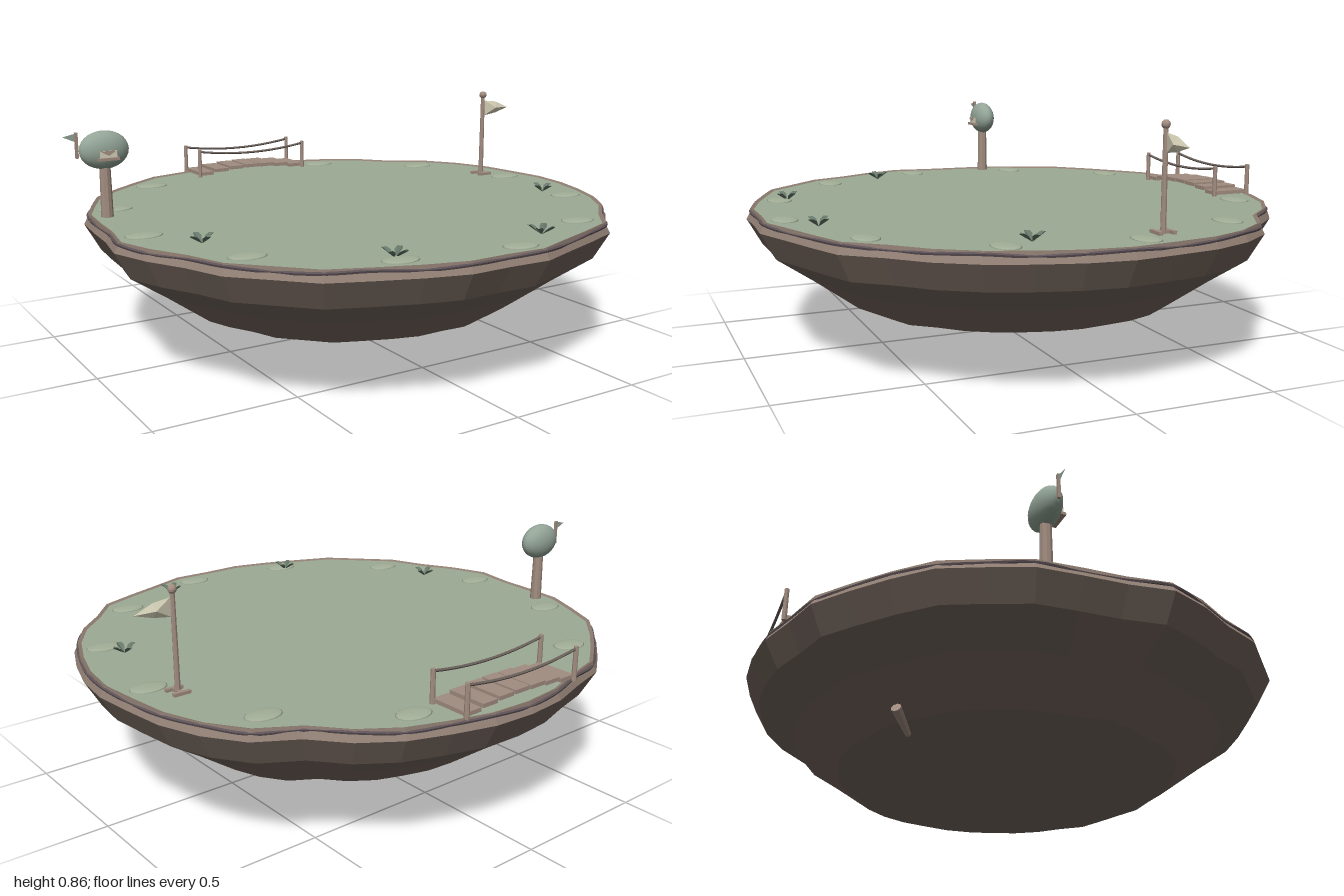
import * as THREE from 'three';

const mat = (color, flat = true) => new THREE.MeshStandardMaterial({ color, flatShading: flat, side: THREE.DoubleSide });
const ROCK = mat(0x75675e), RIM = mat(0x8f7d72), ROOT = mat(0x5c5156), GRASS = mat(0x9caa93), MOUND = mat(0xa3af98, false);
const WOOD = mat(0xa28d80), ROPE = mat(0x6f655f), LEAF = mat(0x66786a), SAGE = mat(0x94a598, false), CREAM = mat(0xd8d3ba);

// rim radius at every 9 degrees, from the front towards +x
const RADII = [
  0.945, 0.963, 0.945, 0.953, 0.98, 0.955, 0.97, 0.975, 0.975, 0.983,
  0.99, 0.985, 1.0, 1.005, 0.996, 0.945, 0.968, 0.975, 0.968, 0.973,
  0.97, 0.966, 0.955, 0.975, 0.962, 0.965, 0.98, 0.965, 0.968, 0.947,
  0.945, 0.983, 0.968, 0.953, 0.98, 0.97, 0.985, 0.96, 0.955, 0.96];
const TOP = 0.503;

function mesh(parent, name, geometry, material, x = 0, y = 0, z = 0) {
  const m = new THREE.Mesh(geometry, material);
  m.name = name;
  m.position.set(x, y, z);
  parent.add(m);
  return m;
}

function group(parent, name, x = 0, y = 0, z = 0) {
  const g = new THREE.Group();
  g.name = name;
  g.position.set(x, y, z);
  parent.add(g);
  return g;
}

// lathe whose radius follows the uneven rim
function islandLathe(profile) {
  const geo = new THREE.LatheGeometry(profile.map(p => new THREE.Vector2(...p)), RADII.length);
  const pos = geo.attributes.position, n = profile.length;
  for (let i = 0; i < pos.count; i++) {
    const r = RADII[Math.floor(i / n) % RADII.length];
    pos.setXYZ(i, pos.getX(i) * r, pos.getY(i), pos.getZ(i) * r);
  }
  geo.computeVertexNormals();
  return geo;
}

// thin flat polygon from x, y, z corners, fanned from the first one
function fan(corners) {
  const pts = [];
  for (let i = 1; i < corners.length - 1; i++) pts.push(...corners[0], ...corners[i], ...corners[i + 1]);
  const geo = new THREE.BufferGeometry();
  geo.setAttribute('position', new THREE.Float32BufferAttribute(pts, 3));
  geo.computeVertexNormals();
  return geo;
}

function rod(parent, name, a, b, r0, r1, material, sides = 8) {
  const from = new THREE.Vector3(...a), to = new THREE.Vector3(...b);
  const dir = to.clone().sub(from);
  const m = mesh(parent, name, new THREE.CylinderGeometry(r1, r0, dir.length(), sides), material);
  m.position.copy(from).add(to).multiplyScalar(0.5);
  m.quaternion.setFromUnitVectors(new THREE.Vector3(0, 1, 0), dir.normalize());
  return m;
}

function addIsland(parent) {
  const g = group(parent, 'island');
  mesh(g, 'rock', islandLathe([[0, 0], [0.3, 0.075], [0.64, 0.165], [0.81, 0.285], [0.945, 0.375], [1, 0.47]]), ROCK);
  mesh(g, 'rim', islandLathe([[1, 0.47], [0.987, 0.492], [0.985, 0.508], [0.972, TOP]]), RIM);
  mesh(g, 'grass', islandLathe([[0.975, TOP], [0, TOP]]), GRASS);

  // vine winding around the rim, dipping in and out of it
  const pts = RADII.map((r, i) => {
    const a = i * Math.PI * 2 / RADII.length;
    return new THREE.Vector3(Math.sin(a) * r * 0.984, 0.494 + 0.004 * Math.sin(i * 2.1), Math.cos(a) * r * 0.984);
  });
  mesh(g, 'rimVine', new THREE.TubeGeometry(new THREE.CatmullRomCurve3(pts, true), 160, 0.006, 5, true), ROOT);

  // root poking out of the underside
  rod(g, 'root', [-0.36, 0.115, -0.50], [-0.44, 0.165, -0.57], 0.01, 0.018, WOOD);
}

function addPlants(parent) {
  const mounds = [[-0.51, -0.69], [-0.79, -0.34], [-0.85, 0.105], [-0.68, 0.52], [-0.31, 0.80], [0.11, 0.86],
    [0.52, 0.69], [0.80, 0.34], [0.865, -0.10], [0.70, -0.51], [0.34, -0.79]];
  for (const [x, z] of mounds) {
    mesh(parent, 'mound', new THREE.SphereGeometry(1, 14, 8), MOUND, x, TOP, z).scale.set(0.066, 0.008, 0.046);
  }
  // four rising leaves per tuft, each folded along its middle
  for (const [x, z, turn] of [[-0.73, 0.30, 0.2], [-0.31, 0.77, 0.5], [0.27, 0.78, 0.6], [0.77, 0.24, 0.1]]) {
    const tuft = group(parent, 'leafTuft', x, TOP, z);
    tuft.rotation.y = turn;
    for (let i = 0; i < 4; i++) {
      const leaf = group(tuft, 'leaf');
      leaf.rotation.y = i * Math.PI / 2;
      for (const s of [1, -1]) {
        mesh(leaf, 'leafHalf', fan([[0, 0, 0], [0.022, 0.022, s * 0.013], [0.035, 0.03, s * 0.01], [0.047, 0.028, 0], [0.025, 0.014, 0]]), LEAF);
      }
    }
  }
}

function addBridge(parent) {
  const g = group(parent, 'bridge', -0.008, 0, -0.842);
  for (let i = -3; i <= 3; i++) {
    mesh(g, 'plank', new THREE.BoxGeometry(0.064, 0.014, 0.146), WOOD, i * 0.0725, 0.531 - 0.0018 * i * i, 0);
  }
  for (const z of [-0.074, 0.074]) {
    for (const x of [-0.25, 0.25]) {
      mesh(g, 'post', new THREE.CylinderGeometry(0.008, 0.009, 0.12, 8), WOOD, x, 0.56, z);
    }
    const sag = new THREE.QuadraticBezierCurve3(
      new THREE.Vector3(-0.25, 0.612, z), new THREE.Vector3(0, 0.57, z), new THREE.Vector3(0.25, 0.612, z));
    mesh(g, 'rope', new THREE.TubeGeometry(sag, 16, 0.005, 6), ROPE);
  }
}

function addMailbox(parent) {
  const g = group(parent, 'mailbox', -0.855, 0, -0.235);
  mesh(g, 'mailboxPost', new THREE.CylinderGeometry(0.019, 0.022, 0.2, 10), WOOD, 0, 0.6, 0);
  mesh(g, 'mailboxBody', new THREE.SphereGeometry(1, 20, 14), SAGE, 0, 0.743, 0).scale.set(0.09, 0.068, 0.046);
  mesh(g, 'letterTray', new THREE.BoxGeometry(0.076, 0.01, 0.025), WOOD, 0, 0.716, 0.042);
  mesh(g, 'letter', new THREE.BoxGeometry(0.06, 0.026, 0.006), CREAM, 0, 0.732, 0.046);
  mesh(g, 'letterFlap', fan([[-0.03, 0.745, 0.0495], [0, 0.728, 0.051], [0.03, 0.745, 0.0495]]), WOOD);
  // side signal
  mesh(g, 'signalArm', new THREE.BoxGeometry(0.01, 0.09, 0.01), WOOD, -0.097, 0.765, 0);
  mesh(g, 'signalFlag', fan([[-0.1, 0.807, 0], [-0.145, 0.797, 0], [-0.1, 0.777, 0]]), SAGE);
}

function addFlagpole(parent) {
  const g = group(parent, 'flagpole', 0.81, 0, -0.193);
  for (const z of [-0.025, 0.025]) {
    mesh(g, 'footBar', new THREE.BoxGeometry(0.062, 0.012, 0.014), WOOD, 0, 0.508, z);
  }
  mesh(g, 'footBeam', new THREE.BoxGeometry(0.018, 0.012, 0.05), WOOD, 0, 0.508, 0);
  mesh(g, 'pole', new THREE.CylinderGeometry(0.008, 0.01, 0.34, 8), WOOD, 0, 0.67, 0);
  mesh(g, 'finial', new THREE.SphereGeometry(0.015, 10, 8), WOOD, 0, 0.847, 0);
  // pennant with two billowing faces
  for (const s of [1, -1]) {
    mesh(g, 'pennant', fan([[0.065, 0.79, s * 0.013], [0.008, 0.822, 0], [0.07, 0.815, 0], [0.137, 0.787, 0], [0.07, 0.767, 0], [0.008, 0.758, 0], [0.008, 0.822, 0]]), CREAM);
  }
}

export function createModel() {
  const model = new THREE.Group();
  model.name = 'floatingIsland';
  addIsland(model);
  addPlants(model);
  addBridge(model);
  addMailbox(model);
  addFlagpole(model);
  return model;
}
